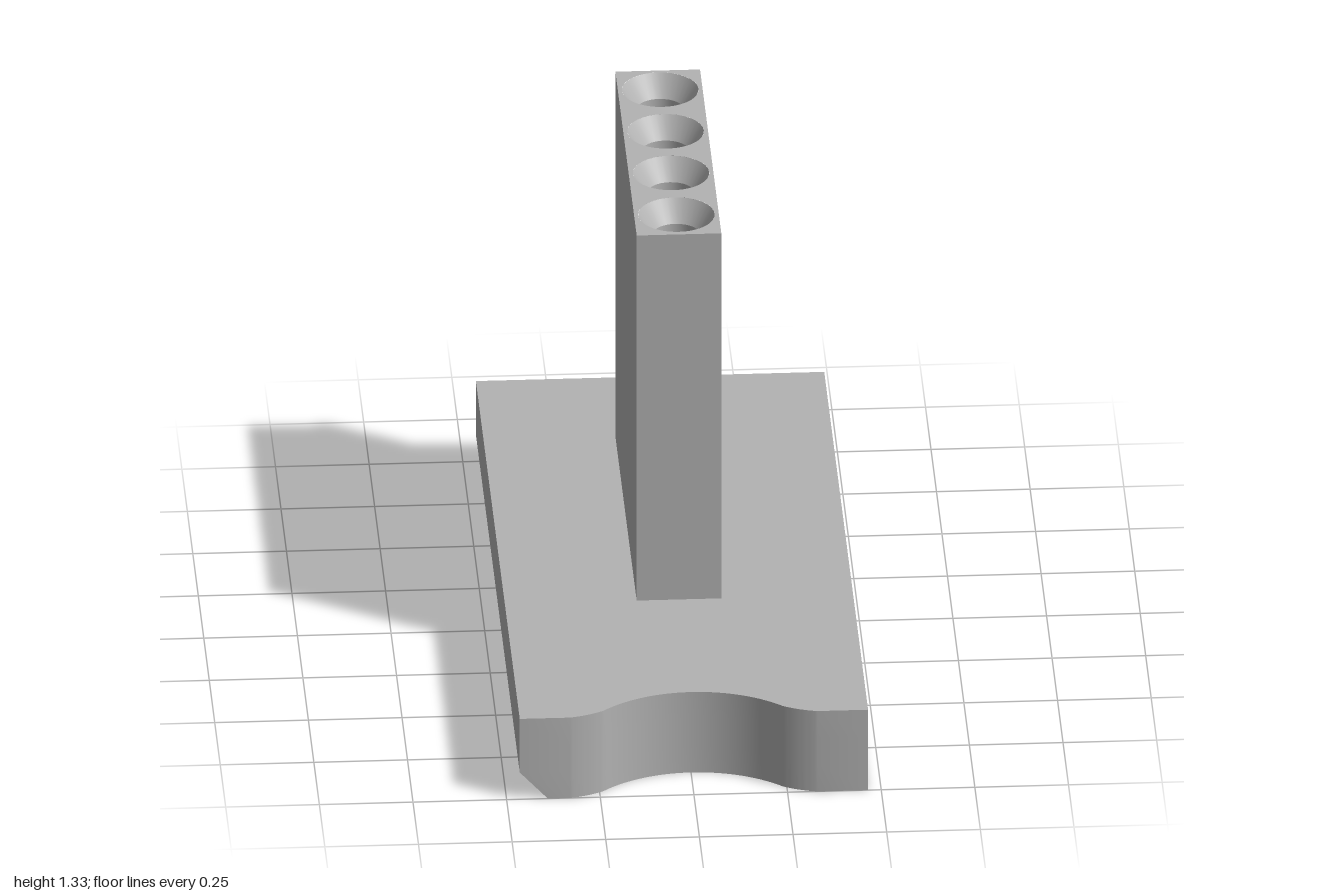
import * as THREE from 'three';
import { toCreasedNormals } from 'three/addons/utils/BufferGeometryUtils.js';

export function createModel() {
  const model = new THREE.Group();
  model.name = 'socketStand';
  const grey = new THREE.MeshStandardMaterial({ color: 0xb3b3b3 });
  grey.name = 'plain grey';

  const add = (name, geometry, parent = model) => {
    const mesh = new THREE.Mesh(geometry, grey);
    mesh.name = name;
    parent.add(mesh);
    return mesh;
  };

  // Base plate: plan outline (shape y = -z) with a scooped front edge
  const W = 0.465, H = 0.24, scoopZ = 1.213, scoopR = 0.345;
  const a = Math.atan2(scoopZ - 0.965, 0.24);
  const plan = new THREE.Shape();
  plan.moveTo(W, 1);
  plan.lineTo(-W, 1);
  plan.lineTo(-W, -1);
  plan.lineTo(-0.33, -1);
  plan.quadraticCurveTo(-0.28, -0.99, -0.24, -0.965);
  plan.absarc(0, -scoopZ, scoopR, Math.PI - a, a, true);
  plan.quadraticCurveTo(0.28, -0.99, 0.33, -1);
  plan.lineTo(W, -1);
  plan.closePath();
  const base = new THREE.ExtrudeGeometry(plan, { depth: H, steps: 3, bevelEnabled: false, curveSegments: 14 });
  base.rotateX(-Math.PI / 2);

  // Chamfer along the lower right edge: pull in the bottom row of corners
  const p = base.attributes.position;
  for (let i = 0; i < p.count; i++) {
    if (p.getY(i) < 0.01 && p.getX(i) < -0.4) p.setX(i, -0.39);
  }
  add('basePlate', toCreasedNormals(base, 0.35));

  // Upright block: four walls, then a pierced top
  const block = new THREE.Group();
  block.name = 'uprightBlock';
  model.add(block);
  const hx = 0.113, z0 = -0.65, z1 = 0.32, top = 1.33;
  const walls = new THREE.BoxGeometry(2 * hx, top - H, z1 - z0);
  const index = Array.from(walls.index.array);
  walls.setIndex([...index.slice(0, 12), ...index.slice(24)]); // drop top and bottom
  walls.clearGroups();
  add('blockWalls', walls, block).position.set(0, (top + H) / 2, (z0 + z1) / 2);

  const socketZ = [0, 1, 2, 3].map((i) => -0.537 + i * 0.2465);
  const lid = new THREE.Shape([
    new THREE.Vector2(-hx, -z1), new THREE.Vector2(hx, -z1),
    new THREE.Vector2(hx, -z0), new THREE.Vector2(-hx, -z0),
  ]);
  for (const z of socketZ) {
    lid.holes.push(new THREE.Path().absarc(0, -z, 0.102, 0, Math.PI * 2, true));
  }
  const lidGeometry = new THREE.ShapeGeometry(lid, 32);
  lidGeometry.rotateX(-Math.PI / 2);
  add('blockTop', lidGeometry, block).position.y = top;

  // Countersunk sockets, profile from rim to floor so the faces look inward
  const profile = [[0.102, 0], [0.064, -0.06], [0.064, -0.3], [0, -0.3]];
  const socket = toCreasedNormals(
    new THREE.LatheGeometry(profile.map(([r, y]) => new THREE.Vector2(r, y)), 32), 0.4);
  socketZ.forEach((z, i) => add(`socket${i + 1}`, socket, block).position.set(0, top, z));

  return model;
}
